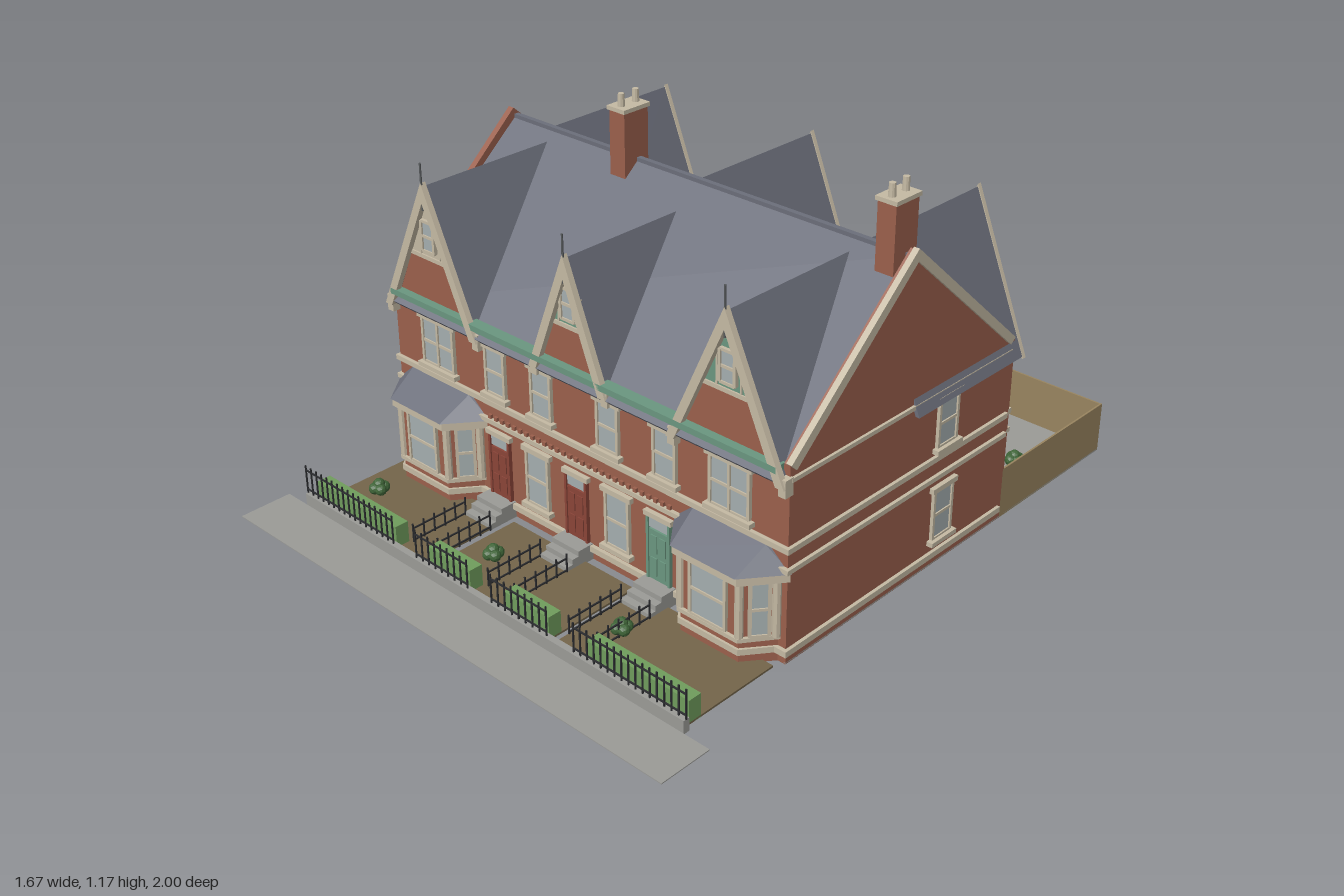
import * as THREE from 'three';
import { ConvexGeometry } from 'three/addons/geometries/ConvexGeometry.js';

const mat = (color) => new THREE.MeshStandardMaterial({ color, flatShading: true });

export function createModel() {
  const brick = mat(0x9a5f4c), cream = mat(0xc4b9a3), slate = mat(0x6b6e7a), glass = mat(0xa4adae);
  const teal = mat(0x6a967f), redDoor = mat(0x8a4438), stone = mat(0x9a9a96), iron = mat(0x2c2d30);
  const hedgeGreen = mat(0x6f9c5c), bushGreen = mat(0x3f6538), soil = mat(0x74654a), fence = mat(0x98845f);
  const tan = mat(0x9b7d58), dark = mat(0x55585a);
  const model = new THREE.Group();

  function group(name, parent = model) {
    const g = new THREE.Group();
    g.name = name;
    parent.add(g);
    return g;
  }
  function add(name, geometry, material, parent = model) {
    const m = new THREE.Mesh(geometry, material);
    m.name = name;
    parent.add(m);
    return m;
  }
  // box given by its limits on each axis
  function box(name, material, x0, x1, y0, y1, z0, z1, parent) {
    const m = add(name, new THREE.BoxGeometry(x1 - x0, y1 - y0, z1 - z0), material, parent);
    m.position.set((x0 + x1) / 2, (y0 + y1) / 2, (z0 + z1) / 2);
    return m;
  }
  const extrude = (pts, depth) => new THREE.ExtrudeGeometry(
    new THREE.Shape(pts.map(([a, b]) => new THREE.Vector2(a, b))), { depth, bevelEnabled: false });
  // profile in (x, y) swept along z
  const alongZ = (pts, z0, z1) => extrude(pts, z1 - z0).translate(0, 0, z0);
  // profile in (z, y) swept along x
  const alongX = (pts, x0, x1) => extrude(pts, x1 - x0).rotateY(-Math.PI / 2).translate(x1, 0, 0);
  // plan in (x, z) swept along y
  const alongY = (pts, y0, y1) => extrude(pts.map(([x, z]) => [x, -z]), y1 - y0).rotateX(-Math.PI / 2).translate(0, y0, 0);
  // inverted V with legs of horizontal width t
  function chevron(cx, w, y0, top, t) {
    const drop = t * (top - y0) / w;
    return [[cx - w, y0], [cx, top], [cx + w, y0], [cx + w - t, y0], [cx, top - drop], [cx - w + t, y0]];
  }

  // sash window facing +z in its own frame, bottom centre at the origin
  function sash(parent, x, y, z, w, h, turn = 0, trim = true) {
    const g = group('sashWindow', parent);
    const b = 0.009;
    box('glass', glass, -w / 2, w / 2, 0, h, -0.004, 0.003, g);
    for (const s of [-1, 1]) box('jamb', cream, s * w / 2 - b / 2, s * w / 2 + b / 2, 0, h, -0.004, 0.008, g);
    for (const r of [0, 0.5, 1]) box('sashRail', cream, -w / 2, w / 2, r * h - 0.004, r * h + 0.004, -0.004, 0.007, g);
    if (trim) {
      box('sill', cream, -w / 2 - 0.015, w / 2 + 0.015, -0.016, -0.002, -0.005, 0.018, g);
      box('lintel', cream, -w / 2 - 0.015, w / 2 + 0.015, h, h + 0.016, -0.005, 0.012, g);
    }
    g.position.set(x, y, z);
    g.rotation.y = turn;
    return g;
  }
  function door(parent, x, y, z, material, turn = 0) {
    const g = group('door', parent);
    box('doorLeaf', material, -0.036, 0.036, 0, 0.155, -0.004, 0.005, g);
    box('fanlight', glass, -0.036, 0.036, 0.16, 0.19, -0.004, 0.004, g);
    for (const s of [-1, 1]) {
      box('doorPost', material, s * 0.039 - 0.004, s * 0.039 + 0.004, 0, 0.2, -0.004, 0.009, g);
      for (const py of [0.015, 0.085]) box('doorPanel', material, s * 0.016 - 0.011, s * 0.016 + 0.011, py, py + 0.055, 0, 0.008, g);
    }
    box('doorHead', cream, -0.05, 0.05, 0.195, 0.21, -0.004, 0.012, g);
    g.position.set(x, y, z);
    g.rotation.y = turn;
  }
  function railing(parent, x0, z0, x1, z1, y0, y1, n) {
    const len = Math.hypot(x1 - x0, z1 - z0);
    for (const y of [y0 + 0.012, y1 - 0.015]) {
      const r = add('rail', new THREE.BoxGeometry(len, 0.004, 0.004), iron, parent);
      r.position.set((x0 + x1) / 2, y, (z0 + z1) / 2);
      r.rotation.y = -Math.atan2(z1 - z0, x1 - x0);
    }
    for (let i = 0; i <= n; i++) {
      const x = x0 + (x1 - x0) * i / n, z = z0 + (z1 - z0) * i / n;
      box('baluster', iron, x - 0.002, x + 0.002, y0, y1, z - 0.002, z + 0.002, parent);
    }
  }

  // walls and main roof
  box('houseWalls', brick, -0.74, 0.74, 0, 0.56, -0.485, 0.46);
  const endProfile = [[0.46, 0], [0.46, 0.585], [-0.005, 1], [-0.485, 0.575], [-0.485, 0]];
  for (const s of [-1, 1]) add('gableEndWall', alongX(endProfile, s * 0.74 - 0.01, s * 0.74 + 0.01), brick);
  add('mainRoof', alongX([[0.49, 0.545], [-0.015, 0.975], [-0.5, 0.545], [-0.49, 0.53], [0.475, 0.53]], -0.73, 0.73), slate);
  box('ridgeTiles', slate, -0.73, 0.73, 0.965, 0.98, -0.023, -0.007);
  add('gableCoping', alongX([[0.465, 0.59], [-0.005, 1.005], [-0.475, 0.585], [-0.455, 0.57], [-0.005, 0.97], [0.445, 0.57]], 0.74, 0.758), cream);
  box('frontGutter', teal, -0.73, 0.73, 0.568, 0.586, 0.455, 0.492);

  // moulded courses on front, back and +x side
  for (const [y0, y1] of [[0.338, 0.354], [0.278, 0.292], [0.03, 0.048]]) {
    box('frontCourse', cream, -0.755, 0.76, y0, y1, 0.45, 0.472);
    box('sideCourse', cream, 0.74, 0.76, y0, y1, -0.465, 0.46);
    box('backCourse', cream, -0.75, 0.75, y0, y1, -0.497, -0.48);
  }
  box('sideCourse', cream, 0.74, 0.758, 0.54, 0.552, -0.465, 0.46);
  const dentils = group('dentils');
  for (let x = -0.35; x <= 0.351; x += 0.025) box('dentil', brick, x - 0.006, x + 0.006, 0.292, 0.304, 0.455, 0.468, dentils);

  // front gables: cx, roof half width, eave, apex, panel base, panel material
  for (const [cx, w, y0, top, py, panel] of [[-0.56, 0.185, 0.535, 0.945, 0.725, cream], [0, 0.135, 0.55, 0.905, 0.705, teal], [0.56, 0.185, 0.535, 0.945, 0.725, teal]]) {
    const g = group('frontGable');
    const k = w / (top - y0), half = (y) => (top - 0.01 - y) * k;
    add('gableWall', alongZ([[cx - half(y0), y0], [cx + half(y0), y0], [cx, top - 0.01]], 0.45, 0.466), brick, g);
    add('gablePanel', alongZ([[cx - half(py), py], [cx + half(py), py], [cx, top - 0.01]], 0.46, 0.471), panel, g);
    add('gableRoof', alongZ(chevron(cx, w, y0, top, 0.012), 0.02, 0.485), slate, g);
    add('bargeboard', alongZ(chevron(cx, w + 0.012, y0 - 0.005, top + 0.012, 0.028), 0.474, 0.492), cream, g);
    for (const s of [-1, 1]) {
      box('bracket', cream, cx + s * w - 0.012, cx + s * w + 0.012, y0 - 0.03, y0 + 0.02, 0.455, 0.485, g);
      box('panelStrip', cream, cx + s * 0.04 - 0.003, cx + s * 0.04 + 0.003, py, py + 0.09, 0.465, 0.474, g);
    }
    box('panelSill', cream, cx - half(py), cx + half(py), py - 0.008, py + 0.004, 0.46, 0.476, g);
    sash(g, cx, py + 0.02, 0.474, 0.05, 0.09, 0, false);
    const rod = add('finial', new THREE.CylinderGeometry(0.003, 0.004, 0.14, 6), dark, g);
    rod.position.set(cx, top, 0.488);
  }

  // rear gables
  for (const cx of [-0.585, 0, 0.585]) {
    const g = group('rearGable');
    add('gableWall', alongZ([[cx - 0.18, 0.53], [cx + 0.18, 0.53], [cx, 0.955]], -0.488, -0.47), brick, g);
    add('gableRoof', alongZ(chevron(cx, 0.185, 0.52, 0.972, 0.012), -0.5, -0.03), slate, g);
    add('bargeboard', alongZ(chevron(cx, 0.188, 0.515, 0.98, 0.02), -0.51, -0.497), cream, g);
  }

  // front openings
  const front = group('frontOpenings');
  for (const x of [-0.56, 0.56]) {
    sash(front, x, 0.38, 0.463, 0.13, 0.14);
    box('mullion', cream, x - 0.004, x + 0.004, 0.38, 0.52, 0.46, 0.471, front);
  }
  for (const x of [-0.317, -0.13, 0.127, 0.335]) sash(front, x, 0.38, 0.463, 0.075, 0.14);
  for (const x of [-0.157, 0.157]) sash(front, x, 0.085, 0.463, 0.085, 0.165);
  [[-0.313, redDoor], [0, redDoor], [0.313, teal]].forEach(([x, m]) => door(front, x, 0.05, 0.463, m));

  // side and rear openings
  const side = group('sideOpenings'), rear = group('rearOpenings');
  for (const [y, h] of [[0.38, 0.14], [0.09, 0.15]]) sash(side, 0.752, y, -0.182, 0.08, h, Math.PI / 2);
  for (const c of [-0.5, 0, 0.5]) {
    sash(rear, c + 0.09, 0.38, -0.488, 0.085, 0.14, Math.PI);
    sash(rear, c + 0.09, 0.09, -0.488, 0.085, 0.15, Math.PI);
    door(rear, c - 0.15, 0.01, -0.488, tan, Math.PI);
  }

  // canted bay windows
  const plan = (f, b, z) => [[-b, 0.455], [-f, z], [f, z], [b, 0.455]];
  for (const cx of [-0.56, 0.56]) {
    const bay = group('bayWindow');
    bay.position.x = cx;
    add('bayWall', alongY(plan(0.1, 0.168, 0.54), 0, 0.26), brick, bay);
    add('bayPlinth', alongY(plan(0.104, 0.175, 0.547), 0.03, 0.048), cream, bay);
    add('baySill', alongY(plan(0.105, 0.176, 0.55), 0.07, 0.082), cream, bay);
    add('bayCornice', alongY(plan(0.11, 0.195, 0.562), 0.25, 0.275), cream, bay);
    const hip = [];
    for (const [x, z] of plan(0.11, 0.2, 0.568)) hip.push(new THREE.Vector3(x, 0.275, z));
    for (const x of [-0.13, 0.13]) hip.push(new THREE.Vector3(x, 0.335, 0.455), new THREE.Vector3(x * 0.95, 0.335, 0.468));
    add('bayRoof', new ConvexGeometry(hip), slate, bay);
    sash(bay, 0, 0.085, 0.542, 0.12, 0.16, 0, false);
    for (const s of [-1, 1]) {
      sash(bay, s * 0.135, 0.085, 0.5, 0.05, 0.16, s * 0.9, false);
      for (const [px, pz] of [[0.1, 0.538], [0.164, 0.468]]) {
        const p = add('bayColumn', new THREE.CylinderGeometry(0.012, 0.012, 0.17, 8), cream, bay);
        p.position.set(s * px, 0.166, pz);
      }
    }
  }

  // chimneys
  for (const cx of [-0.25, 0.685]) {
    const g = group('chimney');
    box('stack', brick, cx - 0.029, cx + 0.029, 0.92, 1.125, -0.052, 0.04, g);
    box('cap', cream, cx - 0.034, cx + 0.034, 1.12, 1.132, -0.057, 0.045, g);
    for (const z of [-0.034, 0.022]) {
      const pot = add('chimneyPot', new THREE.CylinderGeometry(0.009, 0.011, 0.04, 10), cream, g);
      pot.position.set(cx, 1.149, z);
    }
  }

  // ground, rear yards and pavement
  box('yardFloor', stone, -0.75, 0.75, 0, 0.005, -1, 0.46);
  box('rearFence', fence, -0.75, 0.75, 0, 0.16, -1, -0.994);
  for (const x of [-0.747, -0.25, 0.25, 0.747]) box('yardFence', fence, x - 0.003, x + 0.003, 0, 0.16, -1, -0.48);
  box('pavement', stone, -0.835, 0.835, 0, 0.003, 0.835, 1);
  box('frontWall', stone, -0.75, 0.75, 0, 0.04, 0.815, 0.835);
  for (const [x0, x1] of [[-0.735, -0.265], [-0.24, 0.24], [0.26, 0.735]]) box('garden', soil, x0, x1, 0, 0.006, 0.49, 0.8);

  // hedges and front railings
  for (const [x0, x1] of [[-0.735, -0.38], [-0.24, -0.068], [0.068, 0.24], [0.38, 0.735]]) {
    box('hedge', hedgeGreen, x0, x1, 0, 0.072, 0.757, 0.8);
    const r0 = x0 < -0.5 ? -0.75 : x0 - 0.02, r1 = x1 > 0.5 ? 0.75 : x1 + 0.02;
    railing(group('frontRailing'), r0, 0.826, r1, 0.826, 0.04, 0.13, Math.round((r1 - r0) / 0.025));
  }

  // steps, handrails and gate thresholds
  for (const cx of [-0.315, 0, 0.315]) {
    const g = group('doorSteps');
    for (let i = 0; i < 3; i++) box('step', stone, cx - 0.053, cx + 0.053, 0, 0.05 - i * 0.016, 0.46, 0.515 + i * 0.023, g);
    box('threshold', stone, cx - 0.045, cx + 0.045, 0, 0.01, 0.79, 0.82, g);
    for (const s of [-1, 1]) railing(g, cx + s * 0.053, 0.56, cx + s * 0.053, 0.75, 0, 0.065, 5);
  }

  // clustered round shrubs
  for (const [x, z] of [[-0.64, 0.655], [-0.14, 0.655], [0.36, 0.655], [-0.62, -0.745], [0.04, -0.88], [0.62, -0.745]]) {
    const g = group('shrub');
    for (let i = 0; i < 5; i++) {
      const a = i * Math.PI / 2 + 0.4, r = i < 4 ? 0.014 : 0;
      const leaf = add('foliage', new THREE.IcosahedronGeometry(0.018, 1), bushGreen, g);
      leaf.position.set(x + r * Math.cos(a), i < 4 ? 0.026 : 0.038, z + r * Math.sin(a));
    }
  }
  return model;
}
